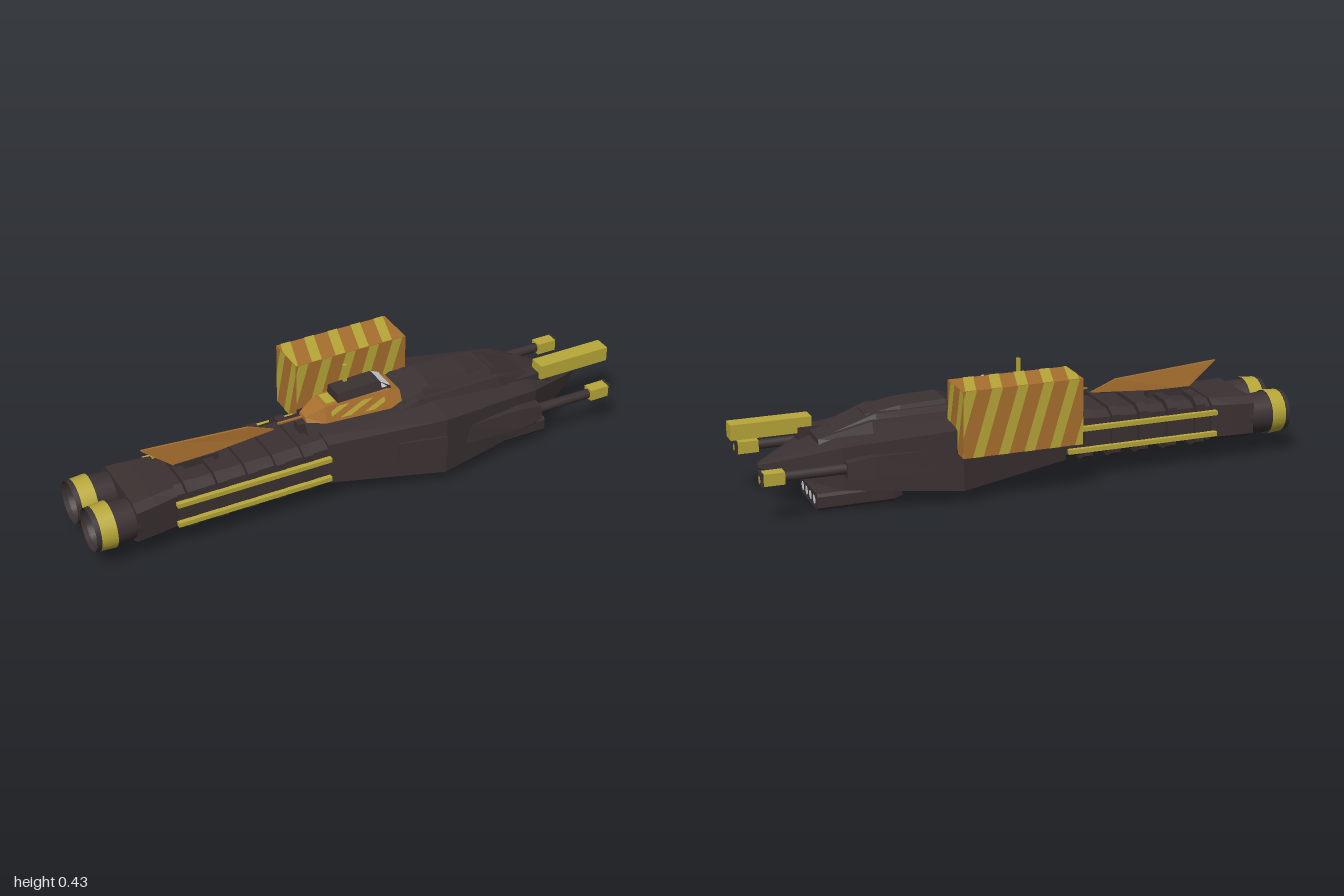
import * as THREE from 'three';

const C = 0.027; // z of the ship's centre line
const dark = new THREE.MeshStandardMaterial({ color: 0x3b3132, side: THREE.DoubleSide });
const yellow = new THREE.MeshStandardMaterial({ color: 0xb8a838 });
const orange = new THREE.MeshStandardMaterial({ color: 0xa9702e });
const light = new THREE.MeshStandardMaterial({ color: 0xd4d6da });
dark.name = 'darkHull'; yellow.name = 'yellowTrim'; orange.name = 'orangePaint'; light.name = 'lightGlass';

// Octagonal section: bottom, top, half width, inset of the top and bottom flats, chamfer height
const oct = (x, yb, yt, w, i, c) => ({ x, ring: [
  [yt, -i], [yt, i], [yt - c, w], [yb + c, w], [yb, i], [yb, -i], [yb + c, -w], [yt - c, -w]] });
// Trapezoid section: bottom, top, half width at bottom and at top
const trap = (x, yb, yt, wb, wt) => ({ x, ring: [[yt, -wt], [yt, wt], [yb, wb], [yb, -wb]] });

// Flat-faced loft along x through the given sections, closed at both ends
function loft(sections) {
  const pos = [];
  const put = (s, j) => { const p = s.ring[j % s.ring.length]; pos.push(s.x, p[0], p[1]); };
  const n = sections[0].ring.length;
  for (let k = 0; k < sections.length - 1; k++) {
    const a = sections[k], b = sections[k + 1];
    for (let j = 0; j < n; j++) {
      put(a, j); put(a, j + 1); put(b, j + 1);
      put(a, j); put(b, j + 1); put(b, j);
    }
  }
  const first = sections[0], last = sections[sections.length - 1];
  for (let j = 1; j < n - 1; j++) {
    put(first, 0); put(first, j + 1); put(first, j);
    put(last, 0); put(last, j); put(last, j + 1);
  }
  const g = new THREE.BufferGeometry();
  g.setAttribute('position', new THREE.Float32BufferAttribute(pos, 3));
  g.computeVertexNormals();
  return g;
}

// Diagonal stripes covering a w by h face, leaning by lean over its height
function stripes(w, h, lean, width, period, start) {
  const shapes = [], k = lean / h;
  const clamp = (u) => Math.min(w, Math.max(0, u));
  for (let a = start; a < w; a += period) {
    const b = a + width;
    const vs = [0, h, -a / k, -b / k, (w - a) / k, (w - b) / k].filter((v) => v >= 0 && v <= h).sort((p, q) => p - q);
    const pts = vs.map((v) => new THREE.Vector2(clamp(a + k * v), v));
    vs.reverse().forEach((v) => pts.push(new THREE.Vector2(clamp(b + k * v), v)));
    if (Math.abs(THREE.ShapeUtils.area(pts)) > 1e-5) shapes.push(new THREE.Shape(pts));
  }
  return new THREE.ShapeGeometry(shapes).translate(-w / 2, -h / 2, 0);
}

export function createModel() {
  const ship = new THREE.Group();
  ship.name = 'spaceship';
  const add = (name, geo, mat, x = 0, y = 0, z = 0, parent = ship) => {
    const m = new THREE.Mesh(geo, mat);
    m.name = name;
    m.position.set(x, y, z);
    parent.add(m);
    return m;
  };
  const box = (name, mat, x0, x1, y0, y1, z0, z1) => add(name, new THREE.BoxGeometry(x1 - x0, y1 - y0, z1 - z0),
    mat, (x0 + x1) / 2, (y0 + y1) / 2, (z0 + z1) / 2);
  const hullPart = (name, mat, sections) => add(name, loft(sections), mat, 0, 0, C);
  // Cylinder along x; r0 at its rear, r1 at its front
  const tube = (r0, r1, len, n, open) => new THREE.CylinderGeometry(r0, r1, len, n, 1, open).rotateZ(Math.PI / 2);

  // Main hull, neck and engine block
  hullPart('mainHull', dark, [
    oct(-0.14, 0.065, 0.245, 0.125, 0.08, 0.012), oct(0.27, 0.035, 0.277, 0.22, 0.11, 0.012),
    oct(0.67, 0.07, 0.24, 0.157, 0.085, 0.01), oct(0.86, 0.123, 0.178, 0.052, 0.025, 0.005),
    oct(0.925, 0.143, 0.157, 0.01, 0.005, 0.002)]);
  hullPart('neck', dark, [oct(-0.72, 0.078, 0.225, 0.115, 0.08, 0.02), oct(-0.13, 0.072, 0.237, 0.122, 0.085, 0.02)]);
  hullPart('engineBlock', dark, [
    oct(-0.855, 0.077, 0.228, 0.152, 0.12, 0.02), oct(-0.78, 0.075, 0.23, 0.142, 0.11, 0.02),
    oct(-0.7, 0.073, 0.232, 0.128, 0.1, 0.02)]);
  for (const x of [-0.65, -0.54, -0.43, -0.325, -0.22]) {
    hullPart('neckRib', dark, [oct(x - 0.017, 0.063, 0.245, 0.138, 0.1, 0.022), oct(x + 0.017, 0.063, 0.245, 0.138, 0.1, 0.022)]);
  }
  for (const side of [-1, 1]) for (const y of [0.112, 0.19]) {
    const z = C + side * 0.146;
    box('sidePipe', yellow, -0.71, -0.14, y - 0.008, y + 0.008, z - 0.009, z + 0.009);
  }

  // Engines
  for (const side of [-1, 1]) {
    const e = new THREE.Group();
    e.name = 'engine';
    e.position.set(0, 0.15, C + side * 0.085);
    ship.add(e);
    add('nozzleCone', tube(0.075, 0.068, 0.085, 20, true), dark, -0.885, 0, 0, e);
    add('nozzleRim', tube(0.075, 0.078, 0.075, 20, true), dark, -0.9625, 0, 0, e);
    add('nozzleBand', tube(0.077, 0.081, 0.055, 20, true), yellow, -0.955, 0, 0, e);
    add('bandEdge', new THREE.RingGeometry(0.066, 0.077, 20).rotateY(-Math.PI / 2), dark, -0.983, 0, 0, e);
    add('nozzleLiner', tube(0.068, 0.05, 0.06, 20, true), dark, -0.955, 0, 0, e);
    add('engineGlow', new THREE.CircleGeometry(0.06, 20).rotateY(-Math.PI / 2), light, -0.935, 0, 0, e);
  }

  // Stepped deck on the hull's back
  hullPart('lowerDeck', dark, [
    trap(0.15, 0.22, 0.265, 0.11, 0.1), trap(0.22, 0.23, 0.293, 0.122, 0.105),
    trap(0.55, 0.22, 0.288, 0.115, 0.095), trap(0.73, 0.21, 0.237, 0.075, 0.06)]);
  hullPart('middleDeck', dark, [
    trap(0.18, 0.26, 0.285, 0.09, 0.08), trap(0.25, 0.26, 0.313, 0.1, 0.08),
    trap(0.53, 0.26, 0.307, 0.092, 0.07), trap(0.67, 0.24, 0.255, 0.06, 0.055)]);
  hullPart('upperDeck', dark, [
    trap(0.22, 0.29, 0.3, 0.07, 0.06), trap(0.28, 0.29, 0.328, 0.075, 0.057),
    trap(0.44, 0.29, 0.322, 0.07, 0.055), trap(0.56, 0.28, 0.3, 0.055, 0.045)]);

  // Bridge
  hullPart('bridgeBase', dark, [trap(-0.18, 0.235, 0.272, 0.05, 0.035), trap(0.2, 0.25, 0.285, 0.085, 0.07)]);
  hullPart('bridgeShell', orange, [
    trap(-0.175, 0.28, 0.295, 0.03, 0.022), trap(-0.11, 0.272, 0.33, 0.056, 0.04),
    trap(0.13, 0.272, 0.338, 0.076, 0.056), trap(0.172, 0.29, 0.325, 0.074, 0.056)]);
  for (const side of [-1, 1]) {
    const s = add('bridgeStripe', stripes(0.2, 0.044, 0.09 * side, 0.04, 0.09, side > 0 ? -0.06 : 0.03), yellow, 0.01, 0.304, C + side * 0.0585);
    s.rotation.set(-0.28, side > 0 ? -0.075 : Math.PI + 0.075, 0, 'YXZ');
  }
  box('bridgeRearMark', yellow, -0.1, -0.065, 0.33, 0.336, C - 0.03, C + 0.03);
  hullPart('cabin', dark, [
    trap(-0.06, 0.33, 0.365, 0.042, 0.034), trap(0.1, 0.333, 0.37, 0.046, 0.036), trap(0.143, 0.333, 0.343, 0.046, 0.044)]);
  hullPart('windshield', light, [trap(0.108, 0.346, 0.369, 0.046, 0.035), trap(0.139, 0.344, 0.352, 0.042, 0.041)]);
  box('mast', yellow, -0.006, 0.006, 0.36, 0.433, -0.004, 0.008);
  box('rearProbe', orange, -0.27, -0.16, 0.285, 0.291, C - 0.004, C + 0.004);
  box('probeMount', dark, -0.2, -0.12, 0.235, 0.272, C - 0.02, C + 0.02);

  // Tail fin: a swept blade, thickest at its lower rear
  hullPart('tailFin', orange, [
    trap(-0.77, 0.337, 0.34, 0.004, 0.003), trap(-0.655, 0.246, 0.331, 0.014, 0.004),
    trap(-0.38, 0.264, 0.31, 0.006, 0.004), trap(-0.285, 0.269, 0.272, 0.002, 0.002)]);
  box('finMount', dark, -0.66, -0.5, 0.22, 0.255, C - 0.016, C + 0.016);

  // Striped cargo container on the far side
  const [w, h, d] = [0.43, 0.233, 0.155];
  const cargo = new THREE.Group();
  cargo.name = 'cargoContainer';
  cargo.position.set(0.075, 0.2965, -0.1675);
  ship.add(cargo);
  add('containerBody', new THREE.BoxGeometry(w, h, d), orange, 0, 0, 0, cargo);
  const face = (len, high, x, y, z, rx, ry, start) => add('containerStripe',
    stripes(len, high, 0.07 * high / h, 0.038, 0.092, start), yellow, x, y, z, cargo).rotation.set(rx, ry, 0);
  const o = 0.0015;
  face(w, h, 0, 0, d / 2 + o, 0, 0, -0.06);
  face(w, h, 0, 0, -d / 2 - o, 0, Math.PI, -0.06);
  face(d, h, w / 2 + o, 0, 0, 0, Math.PI / 2, -0.035);
  face(d, h, -w / 2 - o, 0, 0, 0, -Math.PI / 2, -0.035);
  face(w, d, 0, h / 2 + o, 0, -Math.PI / 2, 0, -0.03);
  face(w, d, 0, -h / 2 - o, 0, Math.PI / 2, 0, -0.03);

  // Side guns and side panels
  for (const side of [-1, 1]) {
    const z = C + side * 0.176;
    const housing = add('gunHousing', loft([
      trap(0.36, 0.13, 0.2, 0.03, 0.025), trap(0.58, 0.125, 0.2, 0.032, 0.024), trap(0.67, 0.135, 0.188, 0.026, 0.02)]), dark, 0, 0, z);
    housing.scale.z = 1.05;
    add('gunBarrel', tube(0.019, 0.017, 0.25, 8), dark, 0.77, 0.163, z);
    box('gunTip', yellow, 0.88, 0.958, 0.143, 0.185, z - 0.022, z + 0.022);
    box('muzzlePlate', dark, 0.953, 0.96, 0.14, 0.188, z - 0.024, z + 0.024);
    add('muzzle', new THREE.CircleGeometry(0.014, 12).rotateY(Math.PI / 2), yellow, 0.9615, 0.163, z);
    hullPart('sidePanel', dark, [0.1, 0.27].map((x) => {
      const c = side * (0.125 + (x + 0.14) * 0.232);
      return { x, ring: [[0.2, c - 0.008], [0.2, c + 0.008], [0.125, c + 0.008], [0.125, c - 0.008]] };
    }));
  }

  // Heavy gun by the nose
  box('heavyGun', yellow, 0.72, 1, 0.23, 0.284, 0.075, 0.134);
  box('heavyGunMount', dark, 0.62, 0.77, 0.2, 0.25, 0.07, 0.12);

  // Launcher under the hull
  hullPart('launcher', dark, [
    oct(0.45, 0.004, 0.058, 0.1, 0.09, 0.012), oct(0.48, 0, 0.06, 0.107, 0.1, 0.01), oct(0.75, 0, 0.058, 0.107, 0.1, 0.01)]);
  box('launcherMount', dark, 0.46, 0.68, 0.05, 0.1, C - 0.06, C + 0.06);
  for (let i = 0; i < 4; i++) {
    add('launchTube', new THREE.CircleGeometry(0.016, 16).rotateY(Math.PI / 2), light, 0.752, 0.032, C + (i - 1.5) * 0.047);
  }
  return ship;
}
